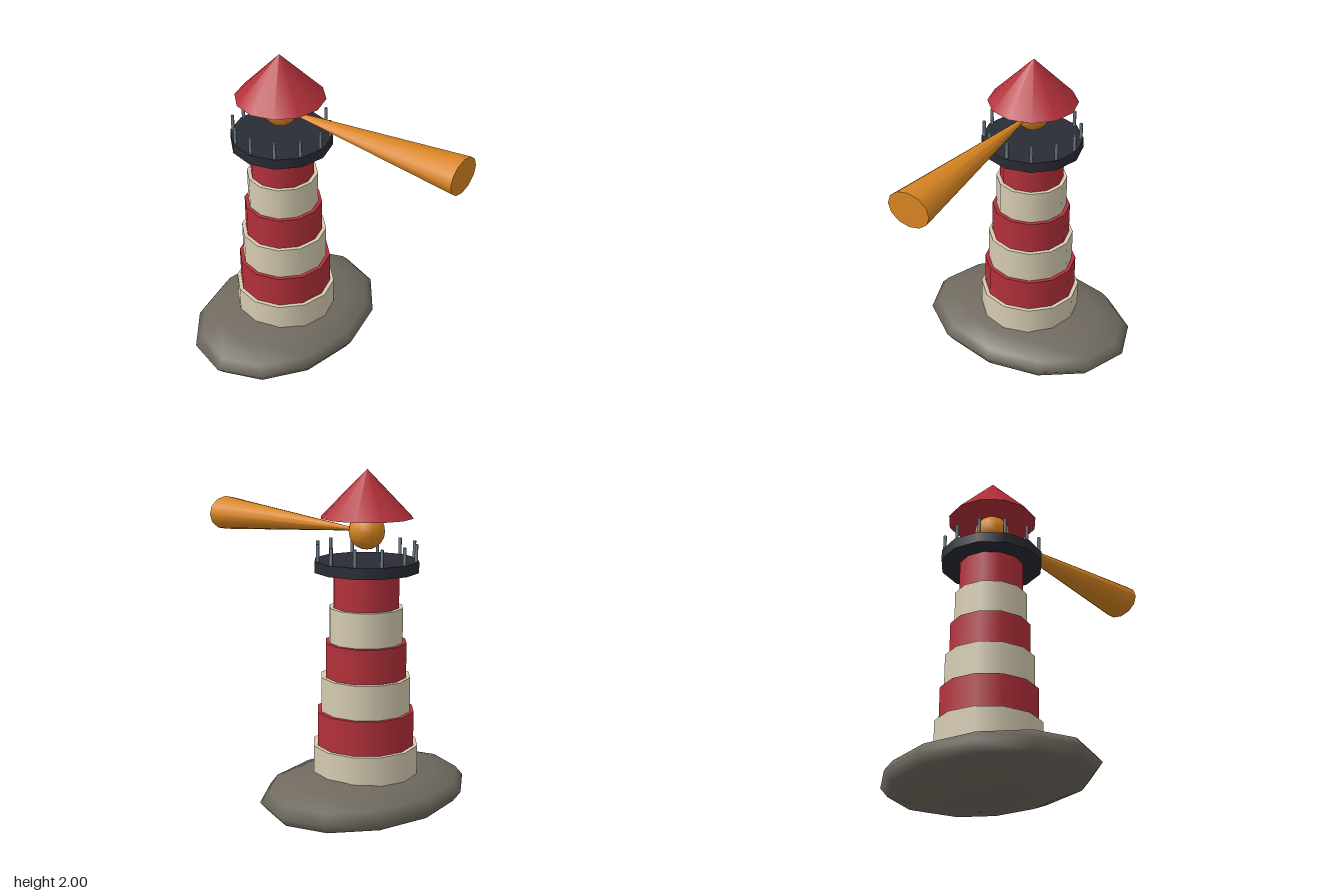
import * as THREE from 'three';

const SIDES = 12;
const CENTRE_Z = -0.345;

function material(name, color) {
  const m = new THREE.MeshStandardMaterial({ color });
  m.name = name;
  return m;
}

export function createModel() {
  const red = material('red paint', 0xb3303a);
  const cream = material('cream paint', 0xd6ccb2);
  const stone = material('grey stone', 0x706a60);
  const iron = material('dark iron', 0x2a2c35);
  const steel = material('steel', 0x6f7d8a);
  const amber = material('amber light', 0xd98522);

  const model = new THREE.Group();
  model.name = 'lighthouse';
  const tower = new THREE.Group();
  tower.name = 'tower';
  tower.position.z = CENTRE_Z;
  model.add(tower);

  function add(name, geometry, mat, x, y, z) {
    const mesh = new THREE.Mesh(geometry, mat);
    mesh.name = name;
    mesh.position.set(x, y, z);
    tower.add(mesh);
    return mesh;
  }

  // Flattened oval rock
  const rock = new THREE.SphereGeometry(1, SIDES, 8);
  rock.scale(0.682, 0.147, 0.508);
  add('rock', rock, stone, 0, 0.15, 0);

  // Striped, stepped tower drums
  const radii = [0.306, 0.282, 0.259, 0.235, 0.212, 0.189];
  const step = 0.199;
  radii.forEach((r, i) => {
    add(`band${i + 1}`, new THREE.CylinderGeometry(r, r, step, SIDES),
      i % 2 ? red : cream, 0, 0.235 + step * (i + 0.5), 0);
  });

  // Gallery deck with railing posts
  add('gallery', new THREE.CylinderGeometry(0.299, 0.299, 0.062, SIDES), iron, 0, 1.464, 0);
  const post = new THREE.CylinderGeometry(0.01, 0.01, 0.1, 6);
  for (let i = 0; i < 12; i++) {
    const a = (i / 12) * Math.PI * 2;
    add('railingPost', post, steel, Math.sin(a) * 0.282, 1.542, Math.cos(a) * 0.282);
  }

  // Lamp and its beam, pointing to the front
  add('lamp', new THREE.SphereGeometry(0.104, SIDES, 10), amber, 0, 1.658, 0);
  const length = 1.205;
  const beam = new THREE.ConeGeometry(1, length, SIDES);
  beam.rotateX(-Math.PI / 2);
  beam.scale(0.129, 0.103, 1);
  add('lightBeam', beam, amber, 0, 1.658, length / 2);

  // Conical roof
  add('roof', new THREE.ConeGeometry(0.263, 0.267, SIDES), red, 0, 1.8665, 0);

  return model;
}
